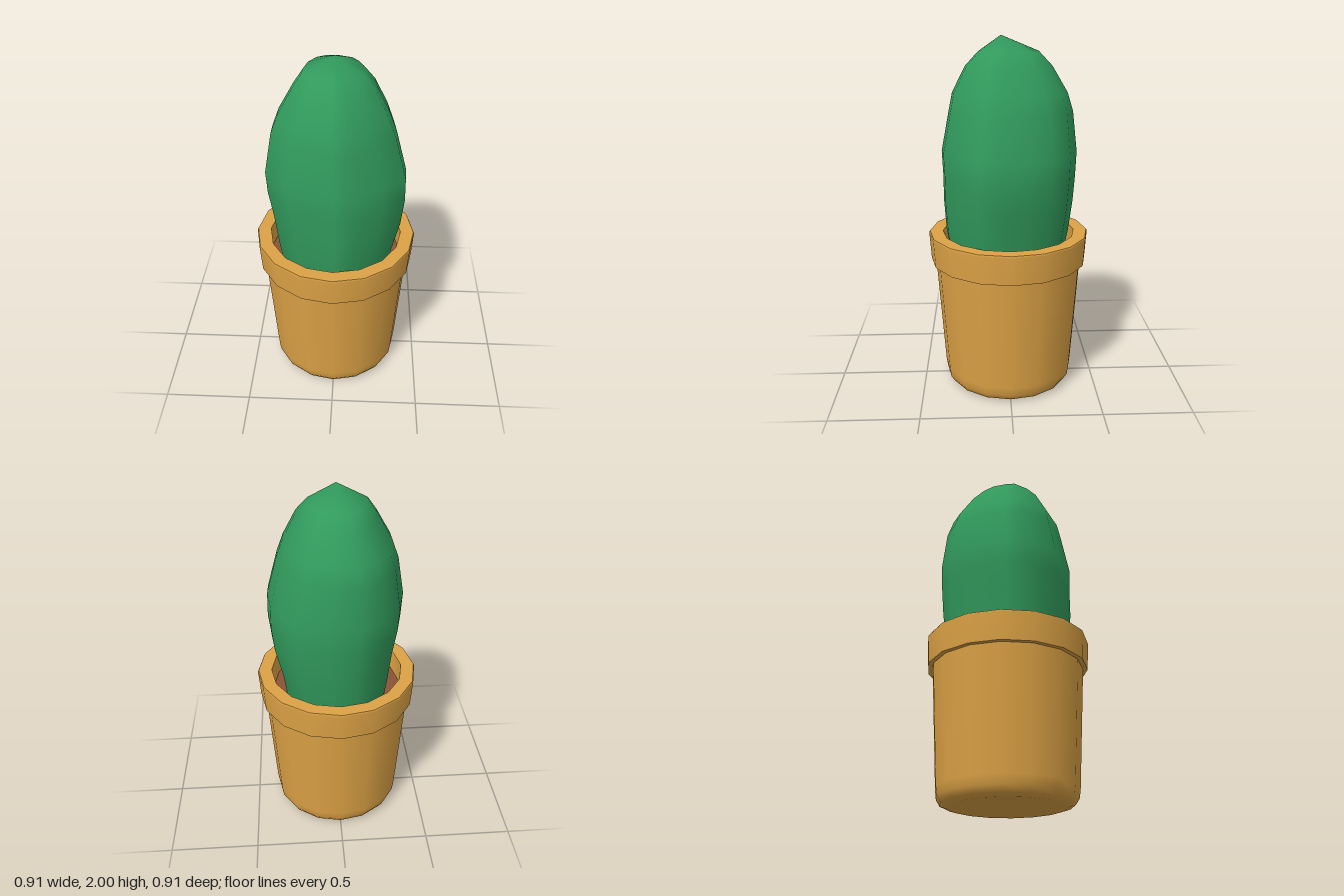
import * as THREE from 'three';

const SIDES = 16;

export function createModel() {
  const group = new THREE.Group();
  group.name = 'pottedCactus';

  const terracotta = new THREE.MeshStandardMaterial({ color: 0xdca245 });
  terracotta.name = 'terracotta';
  const green = new THREE.MeshStandardMaterial({ color: 0x319a5c });
  green.name = 'cactusGreen';
  const soilBrown = new THREE.MeshStandardMaterial({ color: 0x8a5236 });
  soilBrown.name = 'soilBrown';

  // Each profile is its own smooth band, so edges between bands stay sharp
  const band = (name, material, profile) => {
    const points = profile.map(([r, y]) => new THREE.Vector2(r, y));
    const mesh = new THREE.Mesh(new THREE.LatheGeometry(points, SIDES), material);
    mesh.name = name;
    group.add(mesh);
  };

  // Pot
  band('potBase', terracotta, [[0, 0.005], [0.31, 0.005]]);
  band('potBody', terracotta, [[0.31, 0.005], [0.35, 0.018], [0.37, 0.05], [0.377, 0.1], [0.42, 0.75]]);
  band('rimUnderside', terracotta, [[0.42, 0.75], [0.445, 0.75]]);
  band('rimOutside', terracotta, [[0.445, 0.75], [0.455, 0.905], [0.45, 0.915]]);
  band('rimTop', terracotta, [[0.45, 0.915], [0.375, 0.915]]);
  band('rimInside', terracotta, [[0.375, 0.915], [0.365, 0.78]]);
  band('soil', soilBrown, [[0.367, 0.8], [0, 0.8]]);

  // Cactus: one lumpy outline (x, z), scaled and shifted at each height
  const outline = [
    [0, 0.37], [0.11, 0.355], [0.25, 0.265], [0.375, 0.165], [0.38, 0.06],
    [0.36, -0.1], [0.3, -0.22], [0.22, -0.32], [0.05, -0.375], [-0.1, -0.378],
    [-0.23, -0.31], [-0.325, -0.17], [-0.37, 0.02], [-0.37, 0.125], [-0.24, 0.29],
  ];
  // y, x scale, z scale, x shift, z shift
  const rings = [
    [0.78, 0.8, 0.86, 0, 0.01],
    [0.92, 0.85, 0.93, 0, 0.01],
    [1.1, 0.93, 0.97, 0.01, 0.005],
    [1.25, 0.985, 0.985, 0.005, 0],
    [1.38, 0.99, 1, 0, 0],
    [1.6, 0.86, 0.91, -0.01, -0.01],
    [1.7, 0.76, 0.84, -0.01, -0.005],
    [1.84, 0.56, 0.63, -0.005, 0],
    [1.915, 0.41, 0.44, -0.01, 0],
  ];
  const n = outline.length;
  const positions = [];
  const index = [];
  for (const [y, sx, sz, ox, oz] of rings) {
    for (const [x, z] of outline) positions.push(x * sx + ox, y, z * sz + oz);
  }
  positions.push(0, 2, 0.04);
  const apex = rings.length * n;
  for (let r = 0; r < rings.length; r++) {
    for (let i = 0; i < n; i++) {
      const a = r * n + i;
      const b = r * n + (i + 1) % n;
      if (r === rings.length - 1) index.push(a, b, apex);
      else index.push(a, b, a + n, b, b + n, a + n);
    }
  }
  const geometry = new THREE.BufferGeometry();
  geometry.setAttribute('position', new THREE.Float32BufferAttribute(positions, 3));
  geometry.setIndex(index);
  geometry.computeVertexNormals();
  const cactus = new THREE.Mesh(geometry, green);
  cactus.name = 'cactus';
  group.add(cactus);

  return group;
}
